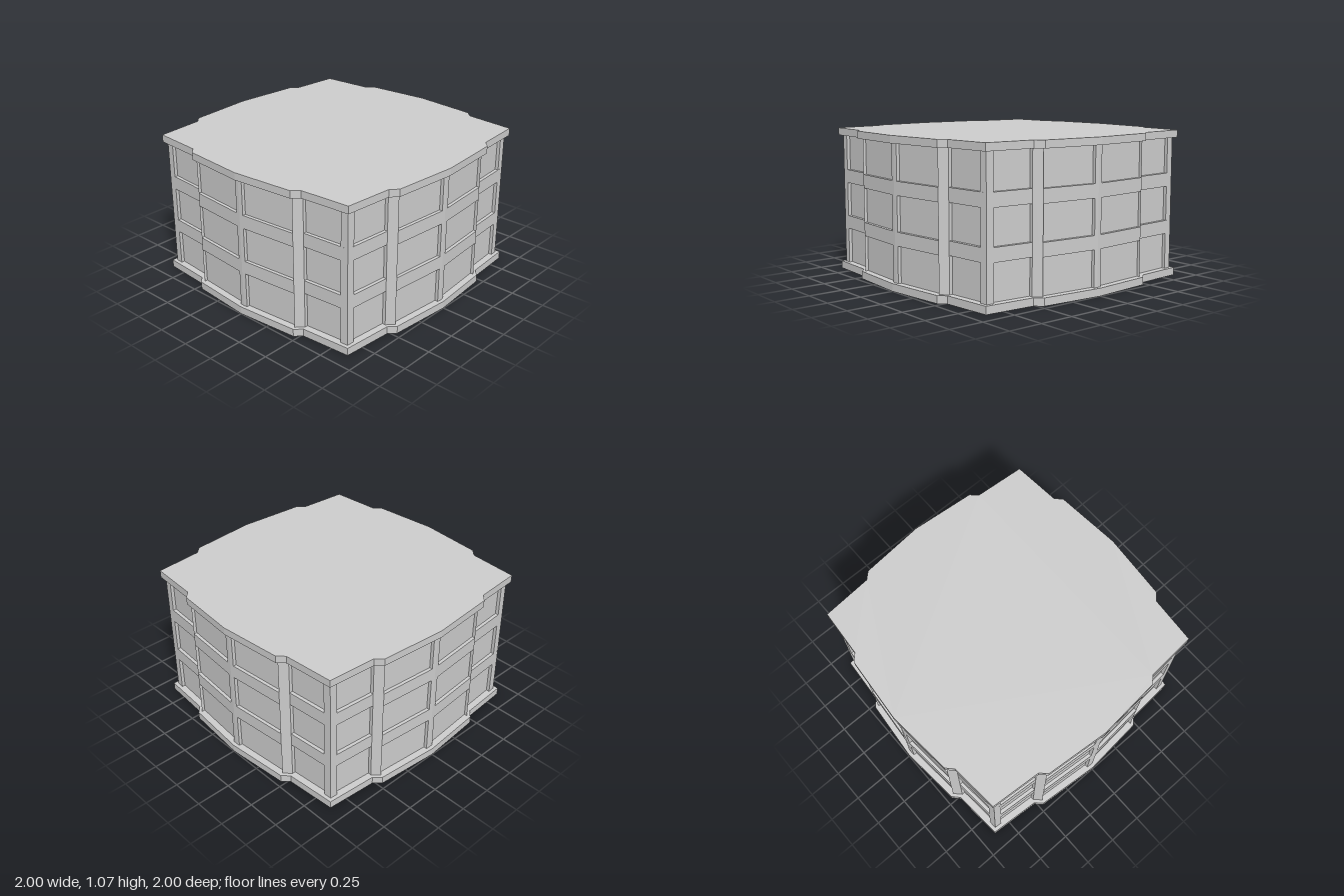
import * as THREE from 'three';

const material = new THREE.MeshStandardMaterial({ color: 0xcccccc, flatShading: true });

// Turn a plan point [x, z] by a number of quarter turns.
function turn([x, z], quarter) {
  for (let i = 0; i < quarter; i++) [x, z] = [z, -x];
  return [x, z];
}

// Upright prism over a plan polygon of [x, z] points.
function prism(name, points, y0, y1) {
  const shape = new THREE.Shape(points.map(([x, z]) => new THREE.Vector2(x, -z)));
  const geometry = new THREE.ExtrudeGeometry(shape, { depth: y1 - y0, bevelEnabled: false });
  geometry.rotateX(-Math.PI / 2).translate(0, y0, 0);
  const mesh = new THREE.Mesh(geometry, material);
  mesh.name = name;
  return mesh;
}

// Closed plan: four bowed sides, each with a chamfered step near either end.
function outline({ corner, outer, inner, middle, shift = 0 }) {
  const points = [];
  for (let q = 0; q < 4; q++) {
    const s = q % 2 === 0 ? shift : 0; // front and back steps may sit further out
    const side = [
      [-corner, corner],
      [-outer[0] - s, outer[1]], [-inner[0] - s, inner[1]],
      [0, middle],
      [inner[0] + s, inner[1]], [outer[0] + s, outer[1]],
    ];
    points.push(...side.map((p) => turn(p, q)));
  }
  return points;
}

export function createModel() {
  const model = new THREE.Group();
  model.name = 'panelledBlock';

  const slab = { corner: 0.885, outer: [0.517, 0.912], inner: [0.467, 0.96], middle: 1 };
  const frame = { corner: 0.86, outer: [0.507, 0.887], inner: [0.457, 0.935], middle: 0.973 };
  const core = { corner: 0.836, outer: [0.507, 0.863], inner: [0.457, 0.911], middle: 0.949 };
  const low = 0.055, high = 1.016;

  // Base and roof slabs
  model.add(prism('baseSlab', outline(slab), 0, low));
  model.add(prism('roofSlab', outline({ ...slab, shift: 0.018 }), high, 1.07));

  // Recessed panels
  model.add(prism('panelCore', outline(core), low, high));

  // Horizontal bands
  for (const [y0, y1] of [[0.315, 0.412], [0.662, 0.76]]) {
    model.add(prism('horizontalBand', outline(frame), y0, y1));
  }

  // Upright posts on every side
  const centrePost = [[-0.03, 0.9], [-0.03, 0.9705], [0, 0.973], [0.03, 0.9705], [0.03, 0.9]];
  const stepPost = [[0.457, 0.87], [0.457, 0.935], [0.507, 0.887], [0.507, 0.83]];
  const cornerPost = [[0.805, 0.805], [0.805, 0.864], [0.86, 0.86], [0.864, 0.805]];
  for (let q = 0; q < 4; q++) {
    const add = (name, points) =>
      model.add(prism(name, points.map((p) => turn(p, q)), low, high));
    add('centrePost', centrePost);
    add('cornerPost', cornerPost);
    for (const side of [-1, 1]) add('stepPost', stepPost.map(([x, z]) => [side * x, z]));
  }

  return model;
}
